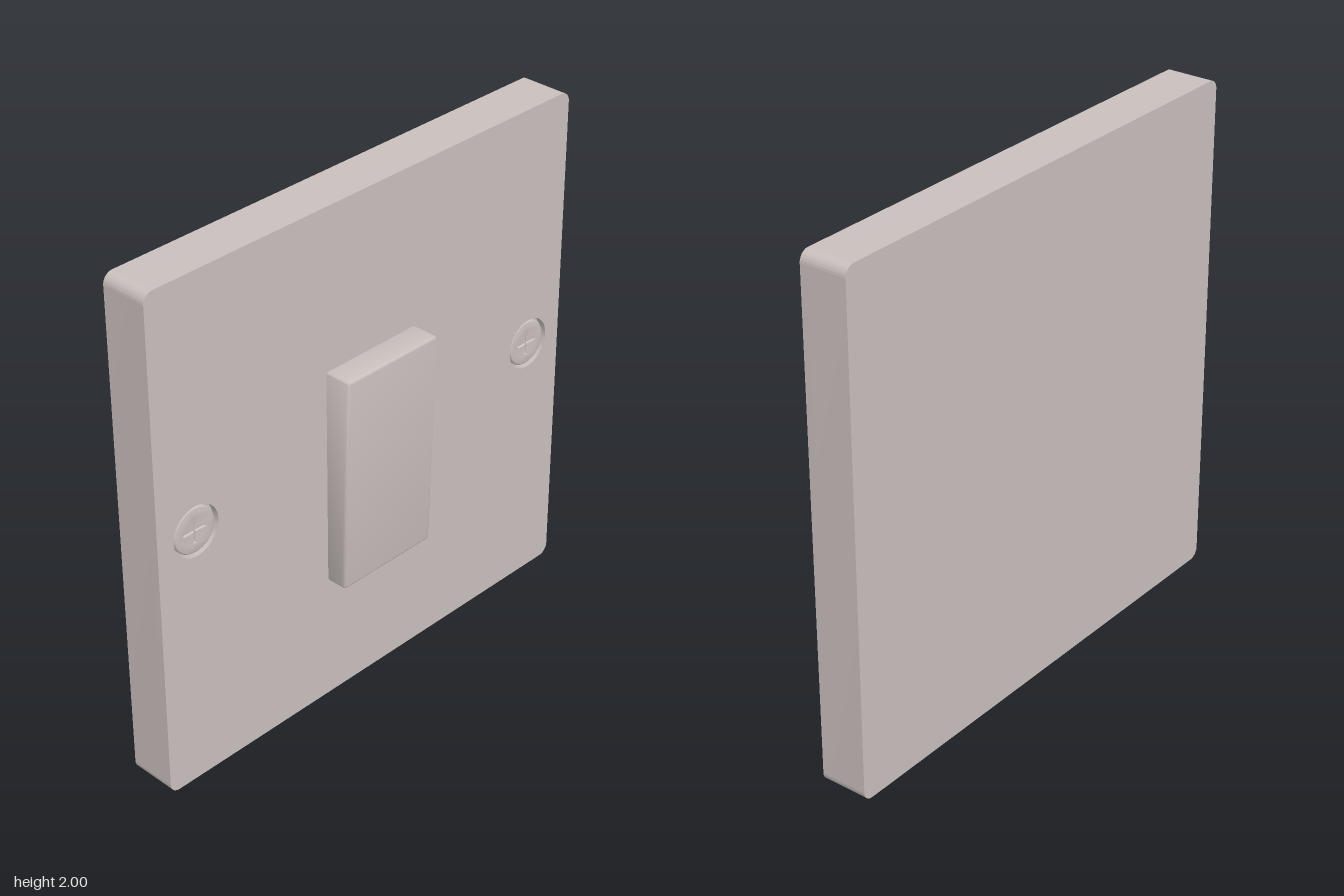
import * as THREE from 'three';
import { toCreasedNormals } from 'three/addons/utils/BufferGeometryUtils.js';

const material = new THREE.MeshStandardMaterial({ color: 0xc9bfbd });
const BACK = -0.145, FLOOR = 0.012, FRONT = 0.04;
const SCREW_X = 0.83, SCREW_Y = 1.035, HOLE_R = 0.1;

function roundedRect(w, h, r) {
  const s = new THREE.Shape(), x = w / 2, y = h / 2;
  s.absarc(x - r, y - r, r, 0, Math.PI / 2);
  s.absarc(-x + r, y - r, r, Math.PI / 2, Math.PI);
  s.absarc(-x + r, -y + r, r, Math.PI, Math.PI * 1.5);
  s.absarc(x - r, -y + r, r, Math.PI * 1.5, Math.PI * 2);
  return s;
}

function circlePath(x, y, r) {
  return new THREE.Path().absarc(x, y, r, 0, Math.PI * 2, true);
}

function extrude(shape, depth, options = {}) {
  const g = new THREE.ExtrudeGeometry(shape, { depth, bevelEnabled: false, curveSegments: 16, ...options });
  return toCreasedNormals(g, 0.6);
}

function addMesh(parent, name, geometry, x = 0, y = 0, z = 0) {
  const mesh = new THREE.Mesh(geometry, material);
  mesh.name = name;
  mesh.position.set(x, y, z);
  parent.add(mesh);
  return mesh;
}

// Plus-shaped outline for the driver recess
function crossPath(a, b) {
  return new THREE.Path([
    [a, b], [a, -b], [b, -b], [b, -a], [-b, -a], [-b, -b],
    [-a, -b], [-a, b], [-b, b], [-b, a], [b, a], [b, b],
  ].map(([x, y]) => new THREE.Vector2(x, y)));
}

function createScrew(name, x) {
  const screw = new THREE.Group();
  screw.name = name;
  screw.position.set(x, SCREW_Y, FLOOR);
  // Head with softened rim and shallow cross recess
  const disc = new THREE.Shape().absarc(0, 0, 0.084, 0, Math.PI * 2);
  disc.holes.push(crossPath(0.052, 0.008));
  const head = extrude(disc, 0.012, {
    curveSegments: 40, bevelEnabled: true, bevelSize: 0.006, bevelThickness: 0.008, bevelSegments: 3,
  });
  addMesh(screw, 'screwHead', head, 0, 0, 0.002);
  addMesh(screw, 'crossRecessFloor', new THREE.CircleGeometry(0.075, 40), 0, 0, 0.015);
  return screw;
}

export function createModel() {
  const model = new THREE.Group();
  model.name = 'wallSwitch';

  // Plate: solid back and a front layer with two screw wells
  const plate = new THREE.Group();
  plate.name = 'facePlate';
  addMesh(plate, 'plateBody', extrude(roundedRect(2, 2, 0.04), FLOOR - BACK), 0, 1, BACK);
  const face = roundedRect(2, 2, 0.04);
  for (const side of [-1, 1]) face.holes.push(circlePath(side * SCREW_X, SCREW_Y - 1, HOLE_R));
  addMesh(plate, 'plateFront', extrude(face, FRONT - FLOOR, { curveSegments: 24 }), 0, 1, FLOOR);
  model.add(plate);

  // Screws
  model.add(createScrew('leftScrew', SCREW_X), createScrew('rightScrew', -SCREW_X));

  // Rocker: softened block whose front leans outward towards the top
  const b = 0.01, h = 0.87;
  const block = new THREE.ExtrudeGeometry(roundedRect(0.44 - 2 * b, h - 2 * b, 0.004), {
    depth: 0.1, bevelEnabled: true, bevelSize: b, bevelThickness: b, bevelSegments: 3, curveSegments: 3,
  });
  const p = block.attributes.position;
  for (let i = 0; i < p.count; i++) {
    if (p.getZ(i) > 0.05) p.setZ(i, p.getZ(i) + 0.0125 + 0.025 * (p.getY(i) / h));
  }
  addMesh(model, 'rocker', toCreasedNormals(block, 0.7), 0, 0.94, 0.01);

  return model;
}
